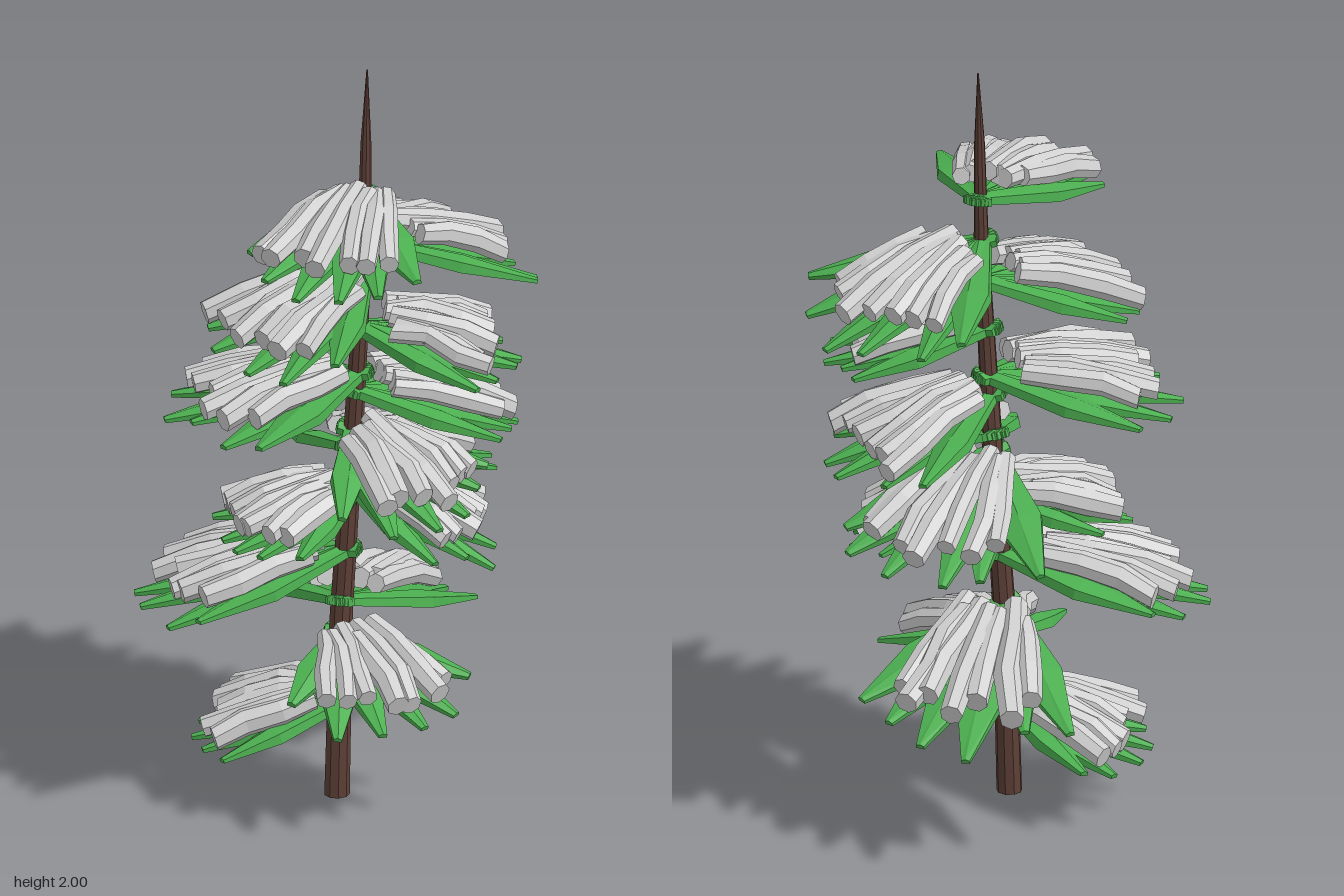
import * as THREE from 'three';
import { mergeGeometries } from 'three/addons/utils/BufferGeometryUtils.js';

// Repeatable irregularity
let seed = 7;
const rand = () => (seed = (seed * 16807) % 2147483647) / 2147483647;
const vary = (amount) => (rand() * 2 - 1) * amount;

// Joins counter-clockwise [x, y, z] rings running along +z into a capped, flat-faced solid
function loft(rings) {
  const pos = [];
  const tri = (a, b, c) => pos.push(...a, ...b, ...c);
  const n = rings[0].length;
  for (let i = 0; i < rings.length - 1; i++) {
    for (let j = 0; j < n; j++) {
      const k = (j + 1) % n;
      tri(rings[i][j], rings[i][k], rings[i + 1][k]);
      tri(rings[i][j], rings[i + 1][k], rings[i + 1][j]);
    }
  }
  const first = rings[0], last = rings[rings.length - 1];
  for (let j = 1; j < n - 1; j++) {
    tri(first[0], first[j + 1], first[j]);
    tri(last[0], last[j], last[j + 1]);
  }
  const g = new THREE.BufferGeometry();
  g.setAttribute('position', new THREE.Float32BufferAttribute(pos, 3));
  g.computeVertexNormals();
  return g;
}

const ring = (n, x, y, z, r, turn = 0) => Array.from({ length: n }, (_, i) => {
  const a = turn + (i / n) * Math.PI * 2;
  return [x + r * Math.cos(a), y + r * Math.sin(a), z];
});

// Trunk stations: height, x, z, radius
const TRUNK = [
  [0, 0.01, 0.1, 0.033], [0.5, 0.02, 0.08, 0.03], [1, 0.05, 0.065, 0.026],
  [1.5, 0.078, 0.074, 0.02], [1.8, 0.082, 0.067, 0.014], [2, 0.085, 0.06, 0.002],
];

function trunkAt(y) {
  const i = Math.max(1, TRUNK.findIndex((s) => s[0] >= y));
  const a = TRUNK[i - 1], b = TRUNK[i];
  const t = (y - a[0]) / (b[0] - a[0]);
  return [a[1] + (b[1] - a[1]) * t, y, a[2] + (b[2] - a[2]) * t];
}

// Wedge-shaped needle blade, broad in the middle, with a flat underside and a narrow tip
function blade(length, width) {
  const section = (z, w, h) => [
    [w, -h, z], [w, h * 0.5, z], [0, h * 1.2, z], [-w, h * 0.5, z], [-w, -h, z],
  ];
  return loft([
    section(-0.04, 0.02, 0.012),
    section(length * 0.56, width, 0.018),
    section(length, 0.011, 0.006),
  ]);
}

// Crooked, faceted roll of snow
function snowRoll(start, end, radius, lift) {
  const turn = rand();
  const rings = [0, 0.33, 0.68, 1].map((t, i) => ring(
    7,
    vary(0.011),
    0.045 + lift + 0.012 * Math.sin(t * Math.PI) - 0.006 * t + vary(0.007),
    start + (end - start) * t,
    radius * [0.85, 1, 1.05, 0.92][i],
    turn,
  ));
  return loft(rings);
}

// Boughs: heading in degrees from the front, height, length, droop, half spread
const BOUGHS = [
  [-13, 1.65, 0.47, 11, 34],
  [139, 1.53, 0.50, 20, 42],
  [-49, 1.42, 0.47, 16, 42],
  [88, 1.29, 0.44, 13, 30],
  [-70, 1.16, 0.50, 9, 39],
  [120, 1.11, 0.48, 17, 42],
  [45, 1.0, 0.42, 20, 42],
  [160, 0.95, 0.53, 23, 38],
  [85, 0.86, 0.42, 25, 36],
  [-62, 0.82, 0.36, 12, 40],
  [-82, 0.67, 0.56, 13, 32],
  [172, 0.53, 0.59, 18, 33],
  [28, 0.44, 0.41, 19, 44],
  [-98, 0.25, 0.40, 17, 42],
];

export function createModel() {
  seed = 7;
  const bark = new THREE.MeshStandardMaterial({ color: 0x5d4037 });
  bark.name = 'bark brown';
  const needle = new THREE.MeshStandardMaterial({ color: 0x4caf50 });
  needle.name = 'needle green';
  const snow = new THREE.MeshStandardMaterial({ color: 0xd0d0d0 });
  snow.name = 'snow grey';

  const tree = new THREE.Group();
  tree.name = 'snowyPine';
  const add = (parent, name, geometry, material) => {
    const mesh = new THREE.Mesh(geometry, material);
    mesh.name = name;
    parent.add(mesh);
  };

  // Leaning trunk, lofted along z and then stood upright
  const trunk = loft(TRUNK.map(([y, x, z, r]) => ring(9, x, -z, y, r)));
  trunk.rotateX(-Math.PI / 2);
  add(tree, 'trunk', trunk, bark);

  for (const [heading, y, length, droop, spreadDeg] of BOUGHS) {
    const spread = THREE.MathUtils.degToRad(spreadDeg);
    const bough = new THREE.Group();
    bough.name = 'bough';
    bough.position.set(...trunkAt(y));
    bough.rotation.order = 'YXZ';
    bough.rotation.y = THREE.MathUtils.degToRad(heading);
    bough.rotation.x = THREE.MathUtils.degToRad(droop);

    // Fan of needle blades
    const blades = [];
    for (let i = 0; i < 6; i++) {
      const s = i / 2.5 - 1;
      const g = blade(length * (1 - 0.14 * Math.abs(s) + vary(0.06)), length * (0.105 + vary(0.01)));
      g.rotateX(vary(0.04));
      g.rotateY(s * spread + vary(0.04));
      blades.push(g);
    }
    add(bough, 'needleFan', mergeGeometries(blades), needle);

    // Nearly parallel snow rolls heaped on the fan, highest in the middle
    const rolls = [];
    for (let i = 0; i < 7; i++) {
      const s = i / 3 - 1;
      const start = length * (0.14 + vary(0.07));
      const end = length * (0.82 - 0.06 * Math.abs(s) + vary(0.07));
      const g = snowRoll(start, end, 0.031 + vary(0.004), 0.014 * (1 - s * s));
      g.rotateY(s * spread * 0.5 + vary(0.05));
      g.translate(s * 0.055, 0, 0);
      rolls.push(g);
    }
    add(bough, 'snowRolls', mergeGeometries(rolls), snow);
    tree.add(bough);
  }
  return tree;
}
